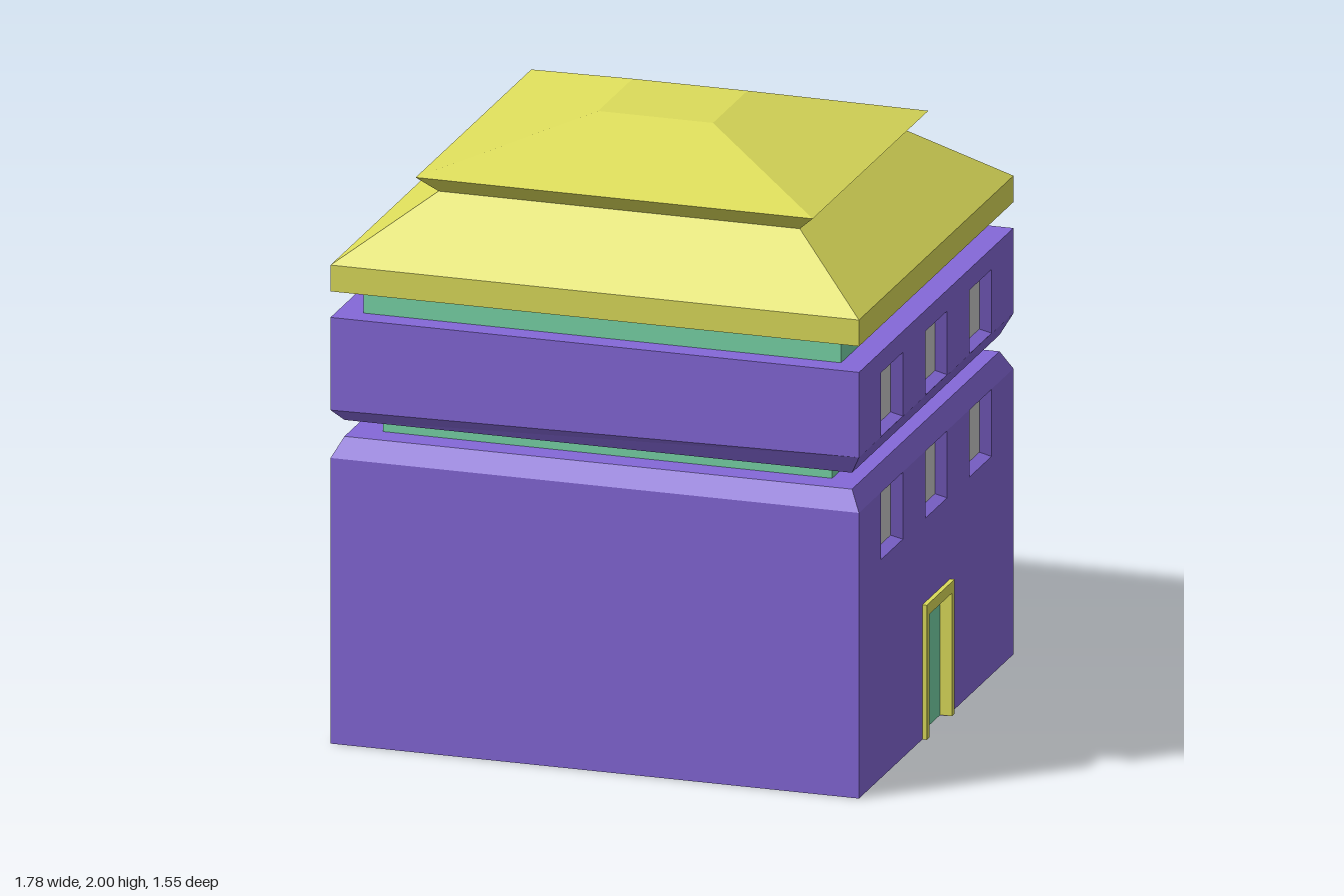
import * as THREE from 'three';

const material = (color) =>
  new THREE.MeshStandardMaterial({ color, flatShading: true, side: THREE.DoubleSide });

// Four-cornered faces, counter-clockwise seen from outside
function quads(list) {
  const pos = [];
  for (const [a, b, c, d] of list) for (const p of [a, b, c, a, c, d]) pos.push(...p);
  const g = new THREE.BufferGeometry();
  g.setAttribute('position', new THREE.Float32BufferAttribute(pos, 3));
  g.computeVertexNormals();
  return g;
}

// Rectangular ring: x range, half depth, height on the right (+x) and left (-x) sides
const ring = (x0, x1, z, y, yLeft = y) =>
  [[x1, y, z], [x1, y, -z], [x0, yLeft, -z], [x0, yLeft, z]];

// Stack of rings from bottom to top; the +x face of band `open` is left out
function stack(rings, { open = -1, bottom = true } = {}) {
  const faces = [];
  for (let k = 0; k < rings.length - 1; k++) {
    const [a, b] = [rings[k], rings[k + 1]];
    for (let i = 0; i < 4; i++) {
      if (i === 0 && k === open) continue;
      const j = (i + 1) % 4;
      faces.push([a[i], a[j], b[j], b[i]]);
    }
  }
  faces.push(rings[rings.length - 1]);
  if (bottom) faces.push([...rings[0]].reverse());
  return quads(faces);
}

const X0 = -0.895, X1 = 0.875, Z = 0.775;
const WIN_Z = [0.445, 0, -0.445], WIN_W = 0.11, WIN_DEPTH = 0.035;

const outline = (points) => points.map(([x, y]) => new THREE.Vector2(x, y));

export function createModel() {
  const model = new THREE.Group();
  const purple = material(0x8468d8), yellow = material(0xdcdc5a);
  const teal = material(0x78d6a8), grey = material(0xcccccc);
  const add = (name, geometry, mat) => {
    const mesh = new THREE.Mesh(geometry, mat);
    mesh.name = name;
    model.add(mesh);
    return mesh;
  };

  // Hollow lower storey with a chamfered top, and two floor strips beside the doorway
  add('lowerStorey', stack([
    ring(X0, X1, Z, 0), ring(X0, X1, Z, 0.955), ring(-0.86, 0.84, 0.74, 1.02),
  ], { open: 0, bottom: false }), purple);
  add('floor', quads([[-Z, -0.11], [0.11, Z]].map(([a, b]) =>
    [[X0, 0, a], [X1, 0, a], [X1, 0, b], [X0, 0, b]])), purple);

  // Upper storey with a slightly uneven lower chamfer
  add('upperStorey', stack([
    ring(-0.86, 0.84, 0.74, 1.075), ring(X0, X1, Z, 1.14, 1.115), ring(X0, X1, Z, 1.425),
  ], { open: 1 }), purple);

  // Recessed bands between the storeys and under the eaves
  add('lowerBand', stack([ring(-0.76, 0.745, 0.655, 1.01), ring(-0.76, 0.745, 0.655, 1.085)]), teal);
  add('upperBand', stack([ring(-0.81, 0.79, 0.7, 1.415), ring(-0.81, 0.79, 0.7, 1.515)]), teal);

  // Two-tier hipped roof
  add('roof', stack([
    ring(-0.865, 0.845, 0.745, 1.508), ring(X0, X1, Z, 1.512), ring(X0, X1, Z, 1.6),
    ring(-0.615, 0.595, 0.53, 1.8), ring(-0.675, 0.655, 0.58, 1.855), ring(-0.2, 0.185, 0.173, 2),
  ]), yellow);

  // Entrance wall of each storey, with window openings
  function wall(name, points, y0, y1) {
    const shape = new THREE.Shape(outline(points));
    for (const z of WIN_Z) {
      const [l, r] = [z - WIN_W, z + WIN_W];
      shape.holes.push(new THREE.Path(outline([[l, y0], [l, y1], [r, y1], [r, y0]])));
      const outer = [[l, y0], [r, y0], [r, y1], [l, y1]].map(([u, y]) => [X1, y, -u]);
      const inner = [[l + 0.018, y0 + 0.016], [r - 0.018, y0 + 0.016],
        [r - 0.018, y1 - 0.019], [l + 0.018, y1 - 0.019]].map(([u, y]) => [X1 - WIN_DEPTH, y, -u]);
      add('windowRecess', quads(outer.map((p, i) => {
        const j = (i + 1) % 4;
        return [p, outer[j], inner[j], inner[i]];
      })), purple);
      add('windowPane', quads([inner]), grey);
    }
    add(name, new THREE.ShapeGeometry(shape).rotateY(Math.PI / 2), purple).position.x = X1;
  }
  wall('lowerEntranceWall', [[-Z, 0], [-0.138, 0], [-0.138, 0.448], [0.138, 0.448],
    [0.138, 0], [Z, 0], [Z, 0.955], [-Z, 0.955]], 0.73, 0.954);
  wall('upperEntranceWall', [[-Z, 1.14], [Z, 1.14], [Z, 1.425], [-Z, 1.425]], 1.142, 1.355);

  // Door frame and recessed door
  const frame = new THREE.Shape(outline([[-0.14, 0], [-0.115, 0], [-0.115, 0.412],
    [0.115, 0.412], [0.115, 0], [0.14, 0], [0.14, 0.45], [-0.14, 0.45]]));
  add('doorFrame', new THREE.ExtrudeGeometry(frame, { depth: 0.05, bevelEnabled: false })
    .rotateY(Math.PI / 2), yellow).position.x = 0.84;
  add('door', new THREE.PlaneGeometry(0.24, 0.42).rotateY(Math.PI / 2), teal)
    .position.set(0.85, 0.21, 0);

  return model;
}
